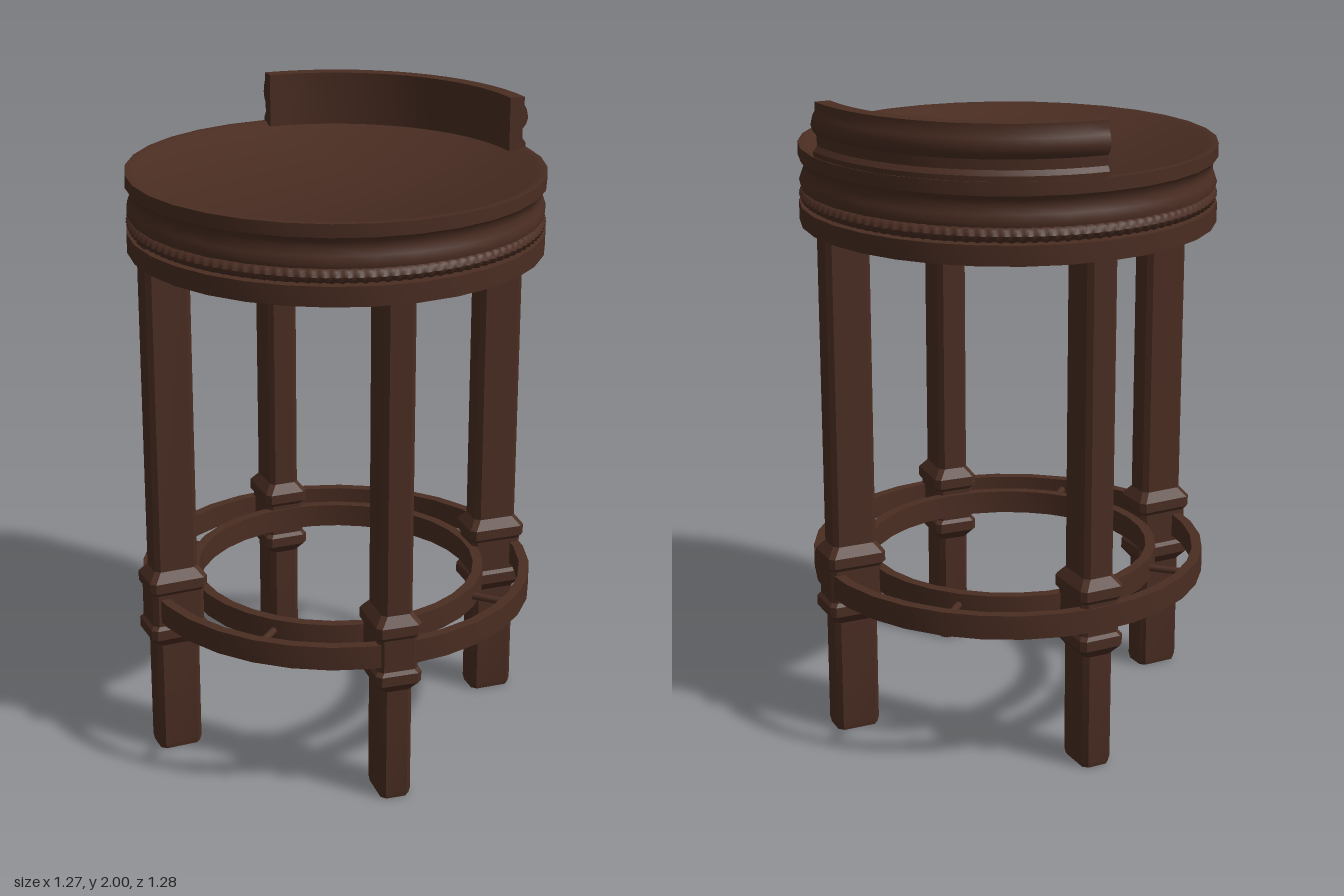
import * as THREE from 'three';
import { toCreasedNormals } from 'three/addons/utils/BufferGeometryUtils.js';

export function createModel() {
  const stool = new THREE.Group();
  stool.name = 'barStool';
  const wood = new THREE.MeshStandardMaterial({ color: 0x4a2d22, side: THREE.DoubleSide });
  wood.name = 'darkWood';

  const add = (name, geometry, parent = stool) => {
    const mesh = new THREE.Mesh(geometry, wood);
    mesh.name = name;
    parent.add(mesh);
    return mesh;
  };
  const vec = (pts) => pts.map(([r, y]) => new THREE.Vector2(r, y));
  const turned = (pts, start = 0, length = Math.PI * 2, segments = 32) =>
    toCreasedNormals(new THREE.LatheGeometry(vec(pts), segments, start, length), 0.6);

  // Round seat: hollow underside, moulded rim and slightly sunken top
  add('seat', turned([
    [0, 1.76], [0.46, 1.76], [0.46, 1.71], [0.6, 1.68], [0.605, 1.6],
    [0.637, 1.6], [0.637, 1.66], [0.61, 1.662], [0.61, 1.708],
    [0.632, 1.71], [0.635, 1.725], [0.628, 1.745], [0.621, 1.765],
    [0.624, 1.785], [0.637, 1.8], [0.637, 1.84],
    [0.612, 1.84], [0.6, 1.832], [0, 1.832],
  ]));

  // Twisted rope moulding around the seat
  const rope = new THREE.TorusGeometry(0.613, 0.024, 8, 600);
  const p = rope.attributes.position;
  for (let i = 0; i < p.count; i++) {
    const v = new THREE.Vector3().fromBufferAttribute(p, i);
    const around = Math.atan2(v.y, v.x);
    const centre = new THREE.Vector3(Math.cos(around), Math.sin(around), 0).multiplyScalar(0.613);
    const offset = v.clone().sub(centre);
    const turn = Math.atan2(offset.z, Math.hypot(v.x, v.y) - 0.613);
    offset.multiplyScalar(0.87 + 0.13 * Math.cos(120 * around + 2 * turn));
    v.copy(centre).add(offset);
    p.setXYZ(i, v.x, v.y, v.z);
  }
  rope.computeVertexNormals();
  rope.rotateX(Math.PI / 2);
  add('ropeMoulding', rope).position.y = 1.685;

  // Low curved backrest with a moulded outer face and closed ends
  const backProfile = [
    [0.632, 1.82], [0.632, 1.855], [0.62, 1.87], [0.62, 1.9], [0.632, 1.915],
    [0.638, 1.935], [0.632, 1.96], [0.624, 1.975], [0.624, 2], [0.576, 2], [0.576, 1.82],
  ];
  const half = 0.79;
  const backrest = new THREE.Group();
  backrest.name = 'backrest';
  stool.add(backrest);
  add('backrestPanel', turned(backProfile, Math.PI - half, half * 2, 16), backrest);
  for (const side of [-1, 1]) {
    const end = add('backrestEnd', new THREE.ShapeGeometry(new THREE.Shape(vec(backProfile))), backrest);
    end.rotation.y = Math.PI + side * half - Math.PI / 2;
  }

  // Leg: chamfered rectangle lofted through [height, outward growth] sections
  const sections = [
    [0, -0.004], [0.02, 0], [0.37, 0], [0.4, 0.023], [0.432, 0.023], [0.443, 0.014], [0.46, 0.014],
    [0.535, 0.014], [0.548, 0.014], [0.56, 0.023], [0.592, 0.023], [0.622, 0], [1.69, 0],
  ];
  const legGeometry = () => {
    const pos = [], index = [], n = 8, c = 0.015;
    for (const [y, grow] of sections) {
      const a = 0.07 + grow, b = 0.049 + grow;
      for (const [x, z] of [[a, -b + c], [a, b - c], [a - c, b], [c - a, b],
        [-a, b - c], [-a, c - b], [c - a, -b], [a - c, -b]]) pos.push(x, y, z);
    }
    const top = (sections.length - 1) * n;
    for (let i = 0; i < top; i += n) {
      for (let j = 0; j < n; j++) {
        const k = (j + 1) % n;
        index.push(i + j, i + n + j, i + k, i + k, i + n + j, i + n + k);
      }
    }
    for (let j = 1; j < n - 1; j++) index.push(0, j, j + 1, top, top + j + 1, top + j);
    const g = new THREE.BufferGeometry();
    g.setAttribute('position', new THREE.Float32BufferAttribute(pos, 3));
    g.setIndex(index);
    return toCreasedNormals(g, 0.55);
  };
  const legShape = legGeometry();
  const legs = {
    frontLeftLeg: [0.357, 0.405], frontRightLeg: [-0.38, 0.405],
    backLeftLeg: [0.393, -0.37], backRightLeg: [-0.38, -0.37],
  };
  for (const [name, [x, z]] of Object.entries(legs)) {
    const leg = add(name, legShape);
    leg.position.set(x, 0, z);
    leg.rotation.y = Math.atan2(x, z) - Math.PI / 2;
  }

  // Footrest: two flat hoops joined by four short pins
  const hoop = (inner, outer) => turned([
    [inner, 0.46], [outer, 0.46], [outer, 0.535], [inner, 0.535], [inner, 0.46],
  ]);
  add('outerFootRing', hoop(0.59, 0.622));
  add('innerFootRing', hoop(0.442, 0.474));
  for (let i = 0; i < 4; i++) {
    const a = i * Math.PI / 2;
    const pin = add('footRingPin', new THREE.CylinderGeometry(0.012, 0.012, 0.14, 8).rotateX(Math.PI / 2));
    pin.position.set(Math.sin(a) * 0.532, 0.4975, Math.cos(a) * 0.532);
    pin.rotation.y = a;
  }
  return stool;
}
